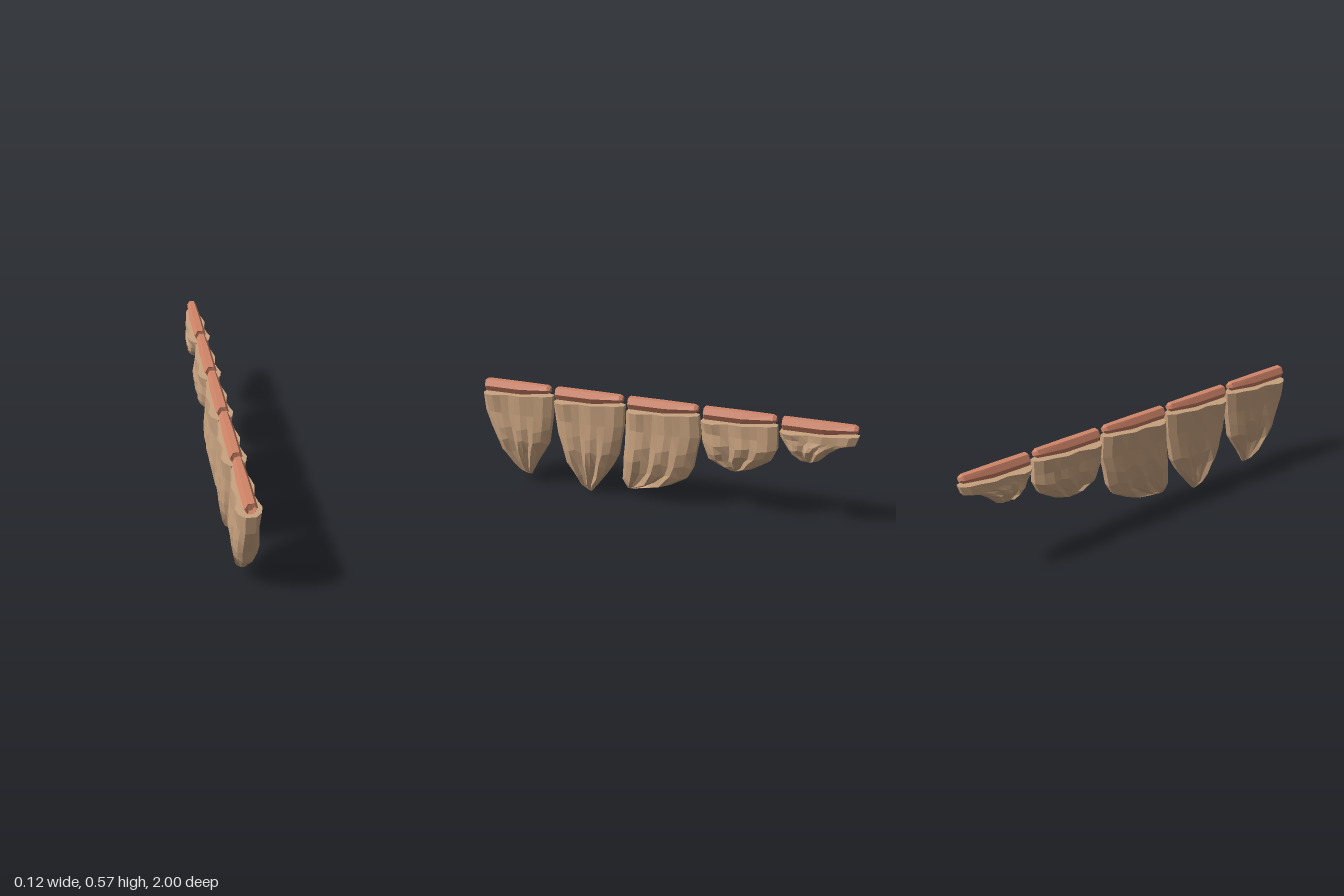
import * as THREE from 'three';

const hide = new THREE.MeshStandardMaterial({ color: 0xc8a27f, flatShading: true });
const wood = new THREE.MeshStandardMaterial({ color: 0xd08468, flatShading: true });

// Skin a list of equal-sized rings (each symmetric, so caps join point i with its mirror)
function loft(rings) {
  const n = rings[0].length, idx = [];
  const quad = (a, b, c, d) => idx.push(a, b, c, a, c, d);
  for (let k = 0; k < rings.length - 1; k++) {
    for (let i = 0; i < n; i++) {
      const j = (i + 1) % n, a = k * n, c = a + n;
      quad(a + i, c + i, c + j, a + j);
    }
  }
  const end = (rings.length - 1) * n;
  for (let i = 0; i < n / 2 - 1; i++) {
    quad(i, i + 1, n - 2 - i, n - 1 - i);
    quad(end + n - 1 - i, end + n - 2 - i, end + i + 1, end + i);
  }
  const g = new THREE.BufferGeometry();
  g.setAttribute('position', new THREE.Float32BufferAttribute(rings.flat(2), 3));
  g.setIndex(idx);
  g.computeVertexNormals();
  return g;
}

// Half thickness across a flap, front edge to back edge, at different heights
const across = [0, 0.07, 0.17, 0.27, 0.38, 0.47, 0.56, 0.66, 0.76, 0.89, 1];
const scallop = [0.024, 0.052, 0.062, 0.05, 0.041, 0.047, 0.054, 0.047, 0.038, 0.035, 0.015];
const smooth = [0.024, 0.042, 0.05, 0.049, 0.047, 0.049, 0.052, 0.049, 0.045, 0.038, 0.017];
const bulge = [0.025, 0.047, 0.06, 0.06, 0.046, 0.06, 0.063, 0.052, 0.06, 0.045, 0.019];
const chipped = [0.023, 0.044, 0.063, 0.04, 0.036, 0.062, 0.046, 0.034, 0.055, 0.036, 0.018];
const profiles = [[0, scallop], [0.22, smooth], [0.45, bulge], [0.68, chipped], [1, chipped]];

function thickness(i, v) {
  let k = 0;
  while (k < profiles.length - 2 && v > profiles[k + 1][0]) k++;
  const [v0, p] = profiles[k], [v1, q] = profiles[k + 1];
  const t = THREE.MathUtils.lerp(p[i], q[i], (v - v0) / (v1 - v0));
  // the lower end pinches to a sharp edge
  return t * Math.min(1, Math.sqrt(Math.max(0, (1 - v) / 0.4)));
}

// rows: [height, front z, back z] from top to tip
function flapGeometry(rows) {
  const top = rows[0][0], drop = top - rows[rows.length - 1][0];
  const rings = rows.map(([y, zf, zb], r) => {
    const v = (top - y) / drop;
    const side = across.map((u, i) => {
      const lift = r === 0 ? 0.02 * u : 0;                       // sloping top edge
      const jag = r > 1 && r < rows.length - 2 ? 0.02 * drop * [1, -1, 0][(i + r) % 3] : 0;
      return [thickness(i, v), y + lift + jag, THREE.MathUtils.lerp(zf, zb, u)];
    });
    const mirrored = side.map(([x, y2, z]) => [-x, y2, z]).reverse();
    return [...side, ...mirrored];
  });
  return loft(rings);
}

// Six-sided rod with a dished front end and a tapered back end
function rodGeometry() {
  // [z, centre y, half width, half height]
  const stations = [
    [-0.012, 0.535, 0.016, 0.016], [-0.004, 0.535, 0.022, 0.023],
    [0, 0.535, 0.027, 0.027], [-0.007, 0.535, 0.032, 0.031],
    [-0.2, 0.536, 0.032, 0.031], [-0.355, 0.547, 0.025, 0.021],
    [-0.372, 0.548, 0.016, 0.012],
  ];
  return loft(stations.map(([z, y, w, h]) => Array.from({ length: 6 }, (_, i) => {
    const a = (i + 0.0) * Math.PI / 3;
    return [w * Math.cos(a), y + h * Math.sin(a) / Math.sin(Math.PI / 3), z];
  })));
}

const flaps = [
  [[0.495, 1, 0.607], [0.4, 0.992, 0.614], [0.32, 0.965, 0.627], [0.25, 0.938, 0.642],
    [0.185, 0.91, 0.675], [0.12, 0.855, 0.71], [0.07, 0.81, 0.74], [0.047, 0.775, 0.75]],
  [[0.495, 0.594, 0.207], [0.4, 0.585, 0.214], [0.32, 0.575, 0.228], [0.24, 0.555, 0.246],
    [0.165, 0.533, 0.28], [0.1, 0.495, 0.317], [0.04, 0.46, 0.37], [0, 0.415, 0.402]],
  [[0.495, 0.19, -0.192], [0.4, 0.195, -0.2], [0.31, 0.2, -0.182], [0.23, 0.208, -0.165],
    [0.165, 0.214, -0.135], [0.105, 0.22, -0.05], [0.075, 0.205, 0.06], [0.05, 0.195, 0.17]],
  [[0.495, -0.207, -0.597], [0.44, -0.213, -0.6], [0.385, -0.219, -0.6], [0.335, -0.235, -0.573],
    [0.3, -0.25, -0.53], [0.265, -0.31, -0.475], [0.236, -0.365, -0.395]],
  [[0.495, -0.612, -1], [0.468, -0.62, -0.985], [0.445, -0.635, -0.91], [0.415, -0.655, -0.86],
    [0.385, -0.677, -0.835], [0.36, -0.71, -0.81], [0.342, -0.74, -0.765]],
];

export function createModel() {
  const model = new THREE.Group();
  const rod = rodGeometry();
  flaps.forEach((rows, i) => {
    const section = new THREE.Group();
    section.name = `section${i + 1}`;

    const flap = new THREE.Mesh(flapGeometry(rows), hide);
    flap.name = 'hangingFlap';

    const bar = new THREE.Mesh(rod, wood);
    bar.name = 'rod';
    bar.position.z = 0.99 - i * 0.403;

    section.add(flap, bar);
    model.add(section);
  });
  return model;
}
